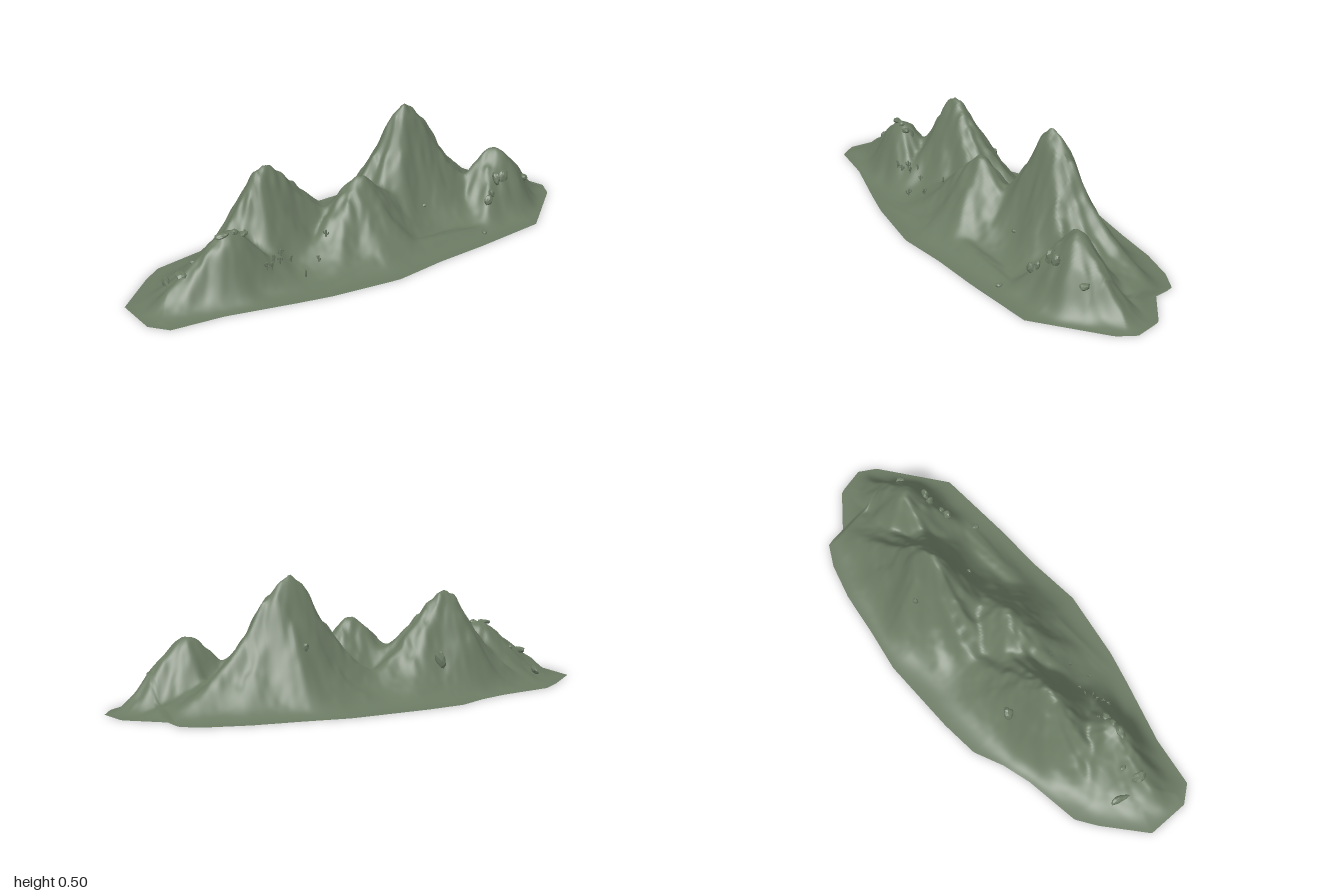
import * as THREE from 'three';

// Ground outline as [x, z]: back edge and front edge, both left to right
const BACK = [[-1, -.05], [-.84, -.19], [-.76, -.245], [-.53, -.28], [-.41, -.315], [-.29, -.37], [-.13, -.385], [.2, -.39],
  [.38, -.36], [.57, -.335], [.72, -.295], [.815, -.245], [.825, -.16], [.97, -.05], [1, .065]];
const FRONT = [[-1, .125], [-.945, .195], [-.74, .225], [-.475, .3], [-.34, .335], [-.055, .38], [.165, .36], [.38, .355],
  [.7, .335], [.96, .135], [1, .065]];

// Hills: position, height, falloff to -x, +x, back, front, and steepness power
const PEAKS = [
  { x: .31, z: -.065, h: .51, l: .235, r: .26, b: .13, f: .134, p: 1.5 },
  { x: -.39, z: -.06, h: .42, l: .19, r: .31, b: .13, f: .125, p: 1.5 },
  { x: 0, z: .05, h: .3, l: .23, r: .19, b: .13, f: .15, p: 1.7 },
  { x: .67, z: .085, h: .26, l: .17, r: .18, b: .11, f: .13, p: 2 },
  { x: -.62, z: .065, h: .24, l: .21, r: .17, b: .13, f: .12, p: 1.9 },
  { x: .1, z: .25, h: .05, l: .4, r: .4, b: .07, f: .06, p: 2 },
];

function edgeZ(line, x) {
  let i = 1;
  while (i < line.length - 1 && line[i][0] < x) i++;
  const [x0, z0] = line[i - 1], [x1, z1] = line[i];
  return z0 + (z1 - z0) * (x - x0) / (x1 - x0);
}

function hash(i, j) {
  const s = Math.sin(i * 127.1 + j * 311.7) * 43758.5453;
  return s - Math.floor(s);
}

function noise(x, z) {
  const i = Math.floor(x), j = Math.floor(z);
  const u = THREE.MathUtils.smoothstep(x - i, 0, 1), v = THREE.MathUtils.smoothstep(z - j, 0, 1);
  const lerp = THREE.MathUtils.lerp;
  return lerp(lerp(hash(i, j), hash(i + 1, j), u), lerp(hash(i, j + 1), hash(i + 1, j + 1), u), v) - .5;
}

// Terrain height: blended maximum of the hills with gullies, fading to the rim
function height(x, z) {
  let sum = 0;
  PEAKS.forEach((k, n) => {
    const dx = (x - k.x) / (x < k.x ? k.l : k.r);
    const dz = (z - k.z) / (z < k.z ? k.b : k.f);
    const d = Math.hypot(dx, dz), a = Math.atan2(dz, dx);
    const gully = 1 + Math.min(d, 1) * (.07 * Math.sin(a * 5 + n * 2) + .035 * Math.sin(a * 11 + n + d * 2));
    sum += (k.h * Math.exp(-Math.pow(d * gully, k.p))) ** 7;
  });
  let y = sum ** (1 / 7);
  y *= 1 + .1 * noise(x * 16, z * 16) + .06 * noise(x * 40, z * 40);
  const rim = Math.min(z - edgeZ(BACK, x), edgeZ(FRONT, x) - z, (1 - Math.abs(x)) * 1.2);
  return y * THREE.MathUtils.smoothstep(rim, -.01, .15) * (rim <= 0 ? 0 : 1);
}

function terrainGeometry(nx, nz) {
  const pos = [], index = [];
  for (let i = 0; i <= nx; i++) {
    const x = -1 + 2 * i / nx, z0 = edgeZ(BACK, x), z1 = edgeZ(FRONT, x);
    for (let j = 0; j <= nz; j++) {
      const z = z0 + (z1 - z0) * j / nz;
      pos.push(x, j === 0 || j === nz ? 0 : height(x, z), z);
      if (i < nx && j < nz) {
        const a = i * (nz + 1) + j, c = a + nz + 1;
        index.push(a, a + 1, c, c, a + 1, c + 1);
      }
    }
  }
  const g = new THREE.BufferGeometry();
  g.setAttribute('position', new THREE.Float32BufferAttribute(pos, 3));
  g.setIndex(index);
  g.computeVertexNormals();
  return g;
}

// Lumpy stone of unit radius
function stoneGeometry(seed) {
  const g = new THREE.IcosahedronGeometry(1, 1), p = g.attributes.position;
  const v = new THREE.Vector3();
  for (let i = 0; i < p.count; i++) {
    v.fromBufferAttribute(p, i);
    const s = .95 + .22 * Math.sin(v.x * 3 + seed) * Math.cos(v.y * 2.5 + v.z * 3 + seed * 2);
    p.setXYZ(i, v.x * s, THREE.MathUtils.clamp(v.y * s, -.75, .75), v.z * s);
  }
  g.computeVertexNormals();
  return g;
}

export function createModel() {
  const model = new THREE.Group();
  const green = new THREE.MeshStandardMaterial({ color: 0x6b7a63 });
  green.name = 'mossGreen';
  const add = (geometry, name, parent = model) => {
    const m = new THREE.Mesh(geometry, green);
    m.name = name;
    parent.add(m);
    return m;
  };

  add(terrainGeometry(220, 100), 'mountains');

  // Flat underside
  const outline = [...BACK, ...FRONT.slice(0, -1).reverse()].map(([x, z]) => new THREE.Vector2(x, z));
  add(new THREE.ShapeGeometry(new THREE.Shape(outline)).rotateX(Math.PI / 2), 'underside');

  // Boulders: x, z, then half sizes
  const stones = [
    [-.82, -.06, .014, .02, .042], [-.81, .04, .022, .015, .032], [-.745, .015, .01, .01, .014],
    [-.65, .075, .03, .012, .016], [-.6, .08, .015, .012, .013], [-.565, .08, .02, .012, .016],
    [-.29, -.185, .022, .045, .02], [.29, -.18, .013, .022, .01],
    [.55, .2, .02, .028, .016], [.62, .165, .016, .035, .022], [.655, .17, .022, .032, .017],
    [.575, .19, .014, .02, .014], [.795, .145, .017, .016, .02], [.46, .28, .012, .009, .015], [.29, .1, .01, .009, .008],
  ];
  stones.forEach(([x, z, sx, sy, sz], n) => {
    const m = add(stoneGeometry(n), 'boulder');
    m.position.set(x, height(x, z) + sy * .2, z);
    m.scale.set(sx, sy, sz);
    m.rotation.set(0, n % 3 * .25 - .25, n % 2 ? .12 : -.12);
  });

  // Small branched desert plants
  const plants = [[-.51, .155], [-.485, .15], [-.465, .13], [-.44, .135], [-.42, .11], [-.38, .12], [-.36, .19],
    [-.28, .16], [-.21, .11], [-.545, .06]];
  const trunk = new THREE.CapsuleGeometry(.004, .032, 3, 6).translate(0, .016, 0);
  const arm = new THREE.TubeGeometry(new THREE.CatmullRomCurve3([
    new THREE.Vector3(0, .012, 0), new THREE.Vector3(.009, .014, 0), new THREE.Vector3(.011, .026, 0),
  ]), 6, .003, 6);
  plants.forEach(([x, z], n) => {
    const plant = new THREE.Group();
    plant.name = 'plant';
    add(trunk, 'trunk', plant);
    add(arm, 'rightArm', plant);
    const other = add(arm, 'leftArm', plant);
    other.rotation.y = Math.PI;
    other.position.y = .005;
    plant.position.set(x, height(x, z) - .003, z);
    plant.rotation.y = n * .7;
    plant.scale.setScalar(.75 + .25 * hash(n, 3));
    model.add(plant);
  });

  return model;
}
